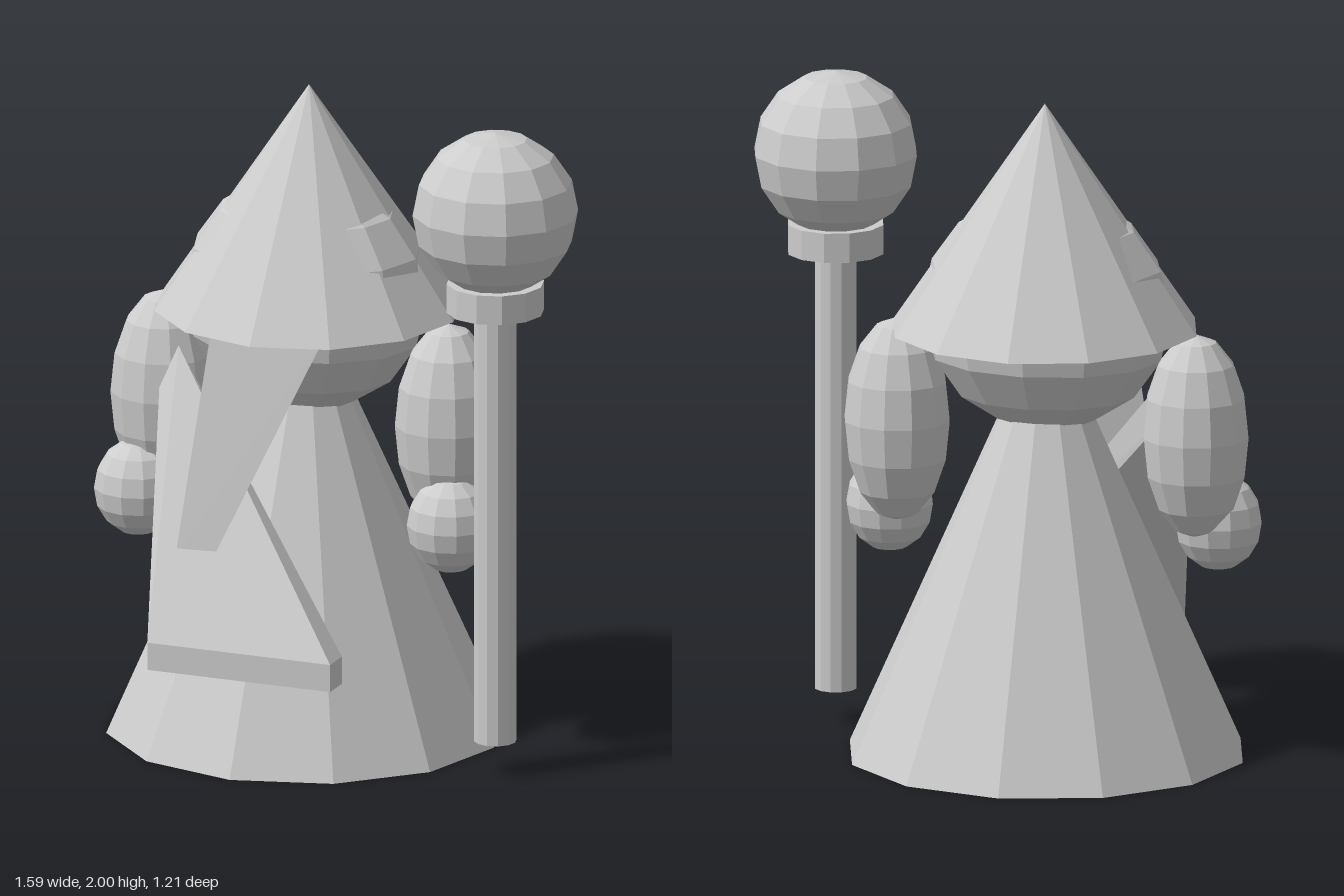
import * as THREE from 'three';
import { ConvexGeometry } from 'three/addons/geometries/ConvexGeometry.js';

export function createModel() {
  const group = new THREE.Group();
  const grey = new THREE.MeshStandardMaterial({ color: 0xcccccc, flatShading: true });
  grey.name = 'plain grey';
  const sheetGrey = grey; // one colour throughout
  sheetGrey.side = THREE.DoubleSide;

  const CX = -0.16; // body axis

  function add(name, geometry, x = 0, y = 0, z = 0) {
    const mesh = new THREE.Mesh(geometry, grey);
    mesh.name = name;
    mesh.position.set(x, y, z);
    group.add(mesh);
    return mesh;
  }

  // Faceted ellipsoid
  const ball = (rx, ry, rz, sides = 12, rows = 8) =>
    new THREE.SphereGeometry(1, sides, rows).scale(rx, ry, rz);

  // Robe, head and pointed hat
  add('robe', new THREE.ConeGeometry(0.605, 1.36, 12), CX, 0.68, 0);
  add('head', ball(0.382, 0.36, 0.318), CX, 1.36, 0);
  add('hat', new THREE.ConeGeometry(0.467, 0.69, 12), CX, 1.655, -0.018);

  // Arms and hands, mirrored about the body axis
  for (const [side, s] of [['left', 1], ['right', -1]]) {
    add(side + 'Arm', ball(0.162, 0.313, 0.163), CX + s * 0.46, 0.998, 0.003);
    add(side + 'Hand', ball(0.133, 0.148, 0.133), CX + s * 0.506, 0.716, 0.097);
  }

  // Staff with collar and orb
  const SX = 0.545, SZ = 0.23;
  add('staffPole', new THREE.CylinderGeometry(0.064, 0.064, 1.4, 12), SX, 0.8, SZ);
  add('staffCollar', new THREE.CylinderGeometry(0.147, 0.147, 0.09, 12), SX, 1.488, SZ);
  add('staffOrb', ball(0.25, 0.25, 0.25), SX, 1.75, SZ);

  // Beard: a single tapering sheet hanging from the face
  const beard = new THREE.BufferGeometry();
  beard.setAttribute('position', new THREE.Float32BufferAttribute([
    -0.335, 1.34, 0.312, 0.035, 1.34, 0.312,
    -0.42, 0.598, 0.405, -0.312, 0.59, 0.405], 3));
  beard.setIndex([0, 2, 1, 1, 2, 3]);
  beard.computeVertexNormals();
  add('beard', beard);

  // Slanted sash: a wedge from the right shoulder to a square-ended lower bar
  const sash = [
    [-0.575, 1.05, 0.15], [-0.525, 1.18, 0.12], [-0.55, 1.08, 0.1],
    [-0.455, 0.375, 0.535], [-0.455, 0.29, 0.535],
    [0.07, 0.375, 0.445], [0.137, 0.375, 0.445], [0.137, 0.29, 0.445],
    [0.137, 0.375, 0.537], [0.137, 0.29, 0.537],
  ];
  add('sash', new ConvexGeometry(sash.map((p) => new THREE.Vector3(...p))));

  return group;
}
